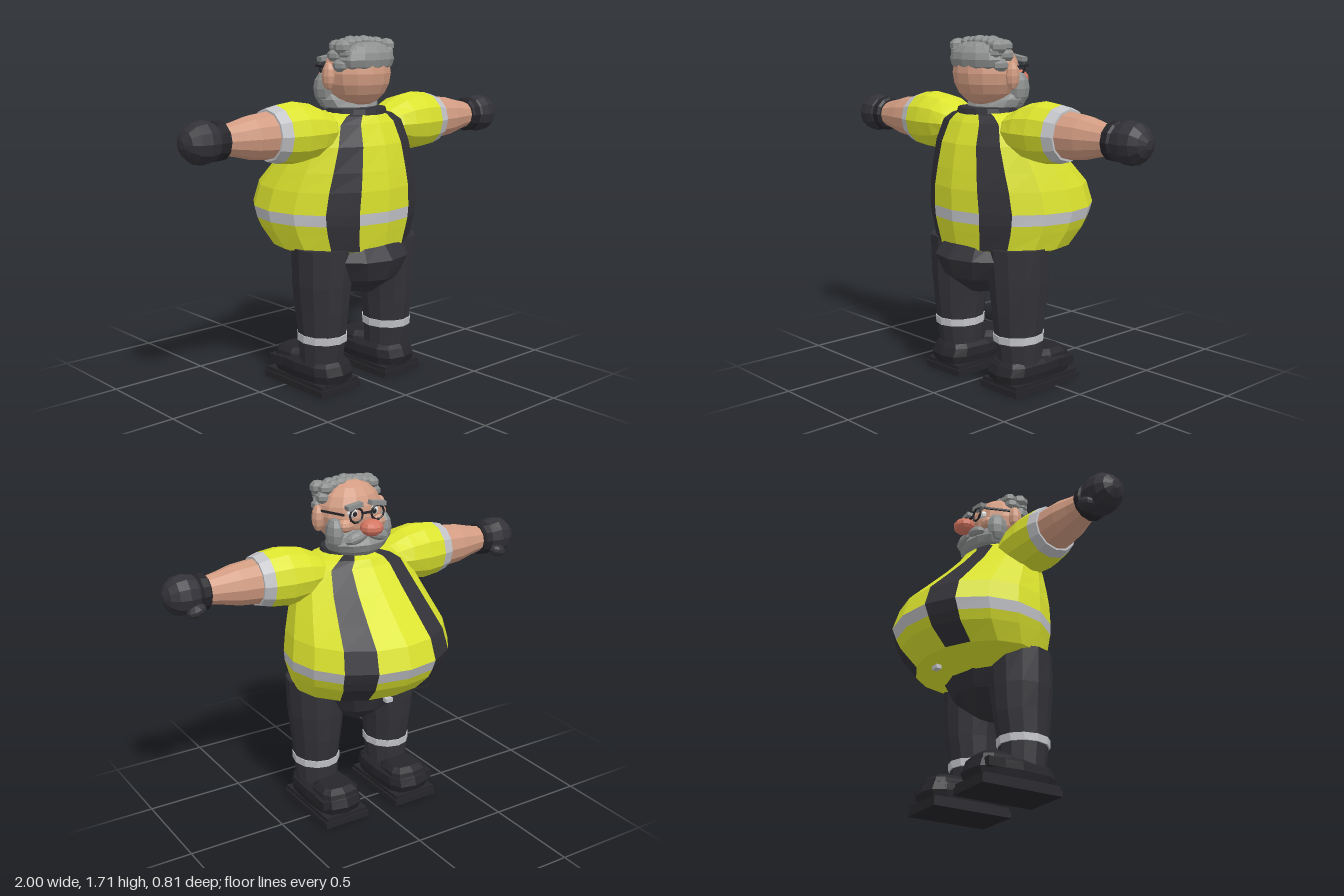
import * as THREE from 'three';

const mat = (name, color) => {
  const m = new THREE.MeshStandardMaterial({ color });
  m.name = name;
  return m;
};
const yellow = mat('safetyYellow', 0xdbe32e);
const dark = mat('charcoalCloth', 0x323238);
const black = mat('bootBlack', 0x26262b);
const silver = mat('reflectiveSilver', 0xc3c4c8);
const skin = mat('skin', 0xd29c82);
const hair = mat('greyHair', 0x8d908f);
const red = mat('rosyNose', 0xd57662);
const white = mat('eyeWhite', 0xe8e8e6);

export function createModel() {
  const model = new THREE.Group();
  model.name = 'worker';

  // Adds a faceted mesh
  const add = (name, geo, m, x = 0, y = 0, z = 0) => {
    const g = geo.index ? geo.toNonIndexed() : geo;
    g.computeVertexNormals();
    const mesh = new THREE.Mesh(g, m);
    mesh.name = name;
    mesh.position.set(x, y, z);
    model.add(mesh);
    return mesh;
  };
  const ball = (name, m, x, y, z, rx, ry, rz, w = 10, h = 7) =>
    add(name, new THREE.SphereGeometry(1, w, h).scale(rx, ry, rz), m, x, y, z);
  const box = (name, m, x, y, z, w, h, d) => add(name, new THREE.BoxGeometry(w, h, d), m, x, y, z);

  // Closed loft of elliptical rings [y, half width, z back, z front, centre x]; pick(row, column) selects a material
  const loft = (name, rings, n, mats, pick = () => 0, power = 1) => {
    const bend = (v) => Math.sign(v) * Math.abs(v) ** power;
    const pt = (j, i) => {
      const [y, w, zb, zf, cx = 0] = rings[j];
      const a = (i / n) * Math.PI * 2;
      return [cx + w * bend(Math.sin(a)), y, (zb + zf) / 2 + ((zb - zf) / 2) * bend(Math.cos(a))];
    };
    const mid = (j) => [rings[j][4] || 0, rings[j][0], (rings[j][2] + rings[j][3]) / 2];
    const pos = [];
    const geo = new THREE.BufferGeometry();
    const top = rings.length - 1;
    const tri = (m, ...p) => {
      geo.addGroup(pos.length / 3, p.length, m);
      p.forEach((q) => pos.push(...q));
    };
    for (let i = 0; i < n; i++) {
      for (let j = 0; j < top; j++) {
        const a = pt(j, i), b = pt(j, i + 1), c = pt(j + 1, i + 1), d = pt(j + 1, i);
        tri(pick(j, i), a, b, c, a, c, d);
      }
      tri(pick(0, i), mid(0), pt(0, i + 1), pt(0, i));
      tri(pick(top - 1, i), mid(top), pt(top, i), pt(top, i + 1));
    }
    geo.setAttribute('position', new THREE.Float32BufferAttribute(pos, 3));
    if (!Array.isArray(mats)) geo.clearGroups();
    return add(name, geo, mats);
  };

  // Round-bellied jacket with dark braces and a reflective belt
  loft('jacket', [
    [0.63, 0.2, 0.2, -0.12], [0.7, 0.365, 0.345, -0.27], [0.785, 0.4, 0.362, -0.358],
    [0.83, 0.415, 0.37, -0.382], [0.885, 0.422, 0.374, -0.405], [0.99, 0.402, 0.376, -0.37],
    [1.08, 0.37, 0.365, -0.277], [1.2, 0.325, 0.345, -0.155], [1.3, 0.28, 0.305, -0.065],
    [1.335, 0.21, 0.285, -0.045], [1.35, 0.14, 0.26, 0],
  ], 16, [yellow, dark, silver], (j, i) => ([1, 6, 9, 14].includes(i) && j > 0 ? 1 : j === 3 ? 2 : 0));
  loft('collar', [[1.3, 0.17, 0.29, -0.02], [1.365, 0.148, 0.277, 0.01]], 16, dark);
  box('zipPull', silver, 0, 0.655, -0.21, 0.04, 0.02, 0.03);

  // Trouser seat
  loft('trouserSeat', [
    [0.465, 0.07, 0.25, 0.02], [0.55, 0.2, 0.365, -0.09], [0.65, 0.268, 0.403, -0.13], [0.745, 0.21, 0.325, 0],
  ], 12, dark);

  for (const s of [1, -1]) {
    const cx = 0.217 * s;
    // Trouser leg, ankle band and boot
    loft('trouserLeg', [
      [0.12, 0.105, 0.24, 0.02, cx], [0.26, 0.113, 0.262, 0.015, cx], [0.4, 0.125, 0.278, -0.01, cx],
      [0.53, 0.142, 0.288, -0.02, cx * 0.99], [0.71, 0.162, 0.295, -0.022, cx * 0.93],
    ], 12, dark);
    loft('ankleBand', [[0.245, 0.119, 0.268, 0.008, cx], [0.282, 0.119, 0.272, 0.005, cx]], 12, silver);
    const cs = 0.21 * s;
    box('lowerSole', black, cs, 0.016, 0.052, 0.25, 0.032, 0.435);
    box('upperSole', black, cs, 0.042, 0.052, 0.235, 0.02, 0.42);
    loft('bootFoot', [
      [0.045, 0.115, 0.27, -0.15, cs], [0.09, 0.125, 0.283, -0.17, cs], [0.13, 0.122, 0.265, -0.155, cs],
      [0.15, 0.1, 0.25, -0.12, cs],
    ], 12, black, undefined, 0.6);
    loft('toeCap', [
      [0.1, 0.115, 0.08, -0.158, cs], [0.155, 0.105, 0.06, -0.14, cs], [0.178, 0.08, 0.03, -0.11, cs],
    ], 10, black, undefined, 0.6);
    box('bootPatch', black, cs + 0.1 * s, 0.107, -0.085, 0.045, 0.045, 0.09);

    // Arm: its length runs along local y, turned outward
    const arm = (name, rows, mats, pick) => {
      const mesh = loft(name, rows.map(([x, r, q = r]) => [x, r, q, -q]), 12, mats, pick);
      mesh.rotation.z = (-s * Math.PI) / 2;
      mesh.position.set(0, 1.27, 0.13);
    };
    arm('sleeve', [[0.17, 0.07, 0.1], [0.22, 0.095, 0.13], [0.29, 0.128, 0.145], [0.39, 0.145, 0.148],
      [0.485, 0.135], [0.54, 0.12]], [yellow, silver], (j) => (j === 4 ? 1 : 0));
    arm('forearm', [[0.52, 0.112], [0.64, 0.1], [0.72, 0.08], [0.81, 0.062]], skin);
    arm('gloveCuff', [[0.785, 0.075], [0.795, 0.088], [0.83, 0.09], [0.842, 0.075]], black);
    arm('glove', [[0.82, 0.065], [0.85, 0.088], [0.895, 0.099, 0.095], [0.945, 0.09, 0.085],
      [0.98, 0.06], [1, 0.02]], dark);
    const thumb = ball('thumb', dark, 0.87 * s, 1.21, 0.055, 0.05, 0.032, 0.036);
    thumb.rotation.z = -0.3 * s;

    // Ears, sideburns, brows, eyes, spectacles and moustache halves
    ball('ear', skin, 0.178 * s, 1.52, 0.143, 0.03, 0.066, 0.036, 8, 6);
    ball('sideburn', hair, 0.135 * s, 1.455, 0.06, 0.042, 0.08, 0.06, 8, 6);
    ball('eye', white, 0.058 * s, 1.555, 0.022, 0.03, 0.024, 0.022, 8, 6);
    ball('pupil', black, 0.055 * s, 1.553, 0.003, 0.012, 0.013, 0.006, 8, 6);
    const brow = box('eyebrow', hair, 0.065 * s, 1.595, -0.005, 0.085, 0.022, 0.035);
    brow.rotation.z = -0.15 * s;
    add('spectacleRim', new THREE.TorusGeometry(0.036, 0.006, 4, 10), black, 0.06 * s, 1.552, -0.017);
    box('spectacleArm', black, 0.148 * s, 1.56, 0.055, 0.008, 0.01, 0.14).rotation.y = 0.35 * s;
    const lip = ball('moustache', hair, 0.055 * s, 1.445, -0.015, 0.07, 0.03, 0.036, 8, 6);
    lip.rotation.z = -0.3 * s;
    ball('cheek', skin, 0.09 * s, 1.495, 0.035, 0.045, 0.035, 0.04, 8, 6);
    // Hair above the ears
    for (const [y, z, r] of [[1.57, 0.19, 0.04], [1.615, 0.15, 0.038], [1.655, 0.2, 0.042]])
      ball('sideCurl', hair, 0.142 * s, y, z, r, r * 0.85, r * 1.1, 7, 5);
  }

  // Head, beard and nose
  ball('head', skin, 0, 1.53, 0.15, 0.172, 0.165, 0.152, 14, 10);
  loft('beard', [
    [1.335, 0.08, 0.16, 0], [1.37, 0.15, 0.22, -0.035], [1.405, 0.165, 0.2, -0.048],
    [1.445, 0.158, 0.14, -0.022], [1.475, 0.12, 0.1, 0.02],
  ], 12, hair);
  ball('nose', red, 0, 1.494, -0.058, 0.058, 0.041, 0.056, 10, 7);
  box('spectacleBridge', black, 0, 1.558, -0.017, 0.05, 0.01, 0.01);

  // Hair on the back of the head, with curls over the crown
  ball('backHair', hair, 0, 1.595, 0.205, 0.165, 0.085, 0.1, 12, 8);
  for (let row = 0; row < 3; row++) {
    for (let i = -3; i <= 3; i++) {
      const x = i * 0.043;
      const r = 0.034 + 0.005 * ((i + row + 6) % 2);
      const y = 1.676 - 1.1 * x * x - (row === 2 ? 0.03 : 0);
      ball('crownCurl', hair, x, y, 0.145 + row * 0.045 - 0.7 * x * x * row, r, r * 0.8, r, 7, 5);
    }
  }
  return model;
}
